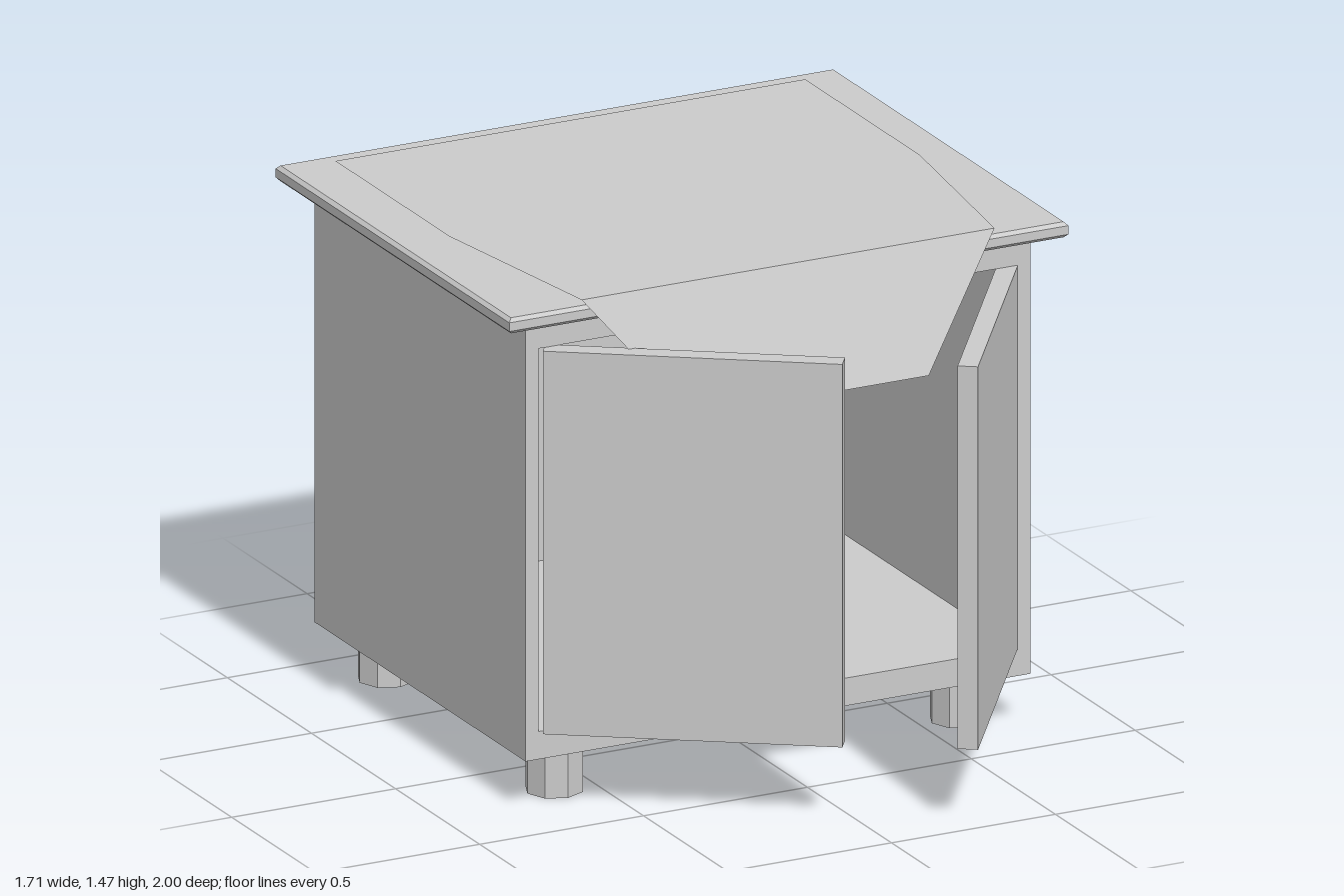
import * as THREE from 'three';

const material = new THREE.MeshStandardMaterial({ color: 0xcccccc, flatShading: true });
const clothMaterial = new THREE.MeshStandardMaterial({ color: 0xcccccc, flatShading: true, side: THREE.DoubleSide });

function addMesh(parent, name, geometry, x = 0, y = 0, z = 0, mat = material) {
  const mesh = new THREE.Mesh(geometry, mat);
  mesh.name = name;
  mesh.position.set(x, y, z);
  parent.add(mesh);
  return mesh;
}

function polygon(points) {
  return new THREE.Shape(points.map(([x, y]) => new THREE.Vector2(x, y)));
}

function rectangle(x0, y0, x1, y1) {
  return polygon([[x0, y0], [x1, y0], [x1, y1], [x0, y1]]);
}

// Door slab whose outer face runs from hinge to tip, given as [x, z]
function addDoor(parent, name, hinge, tip, side) {
  const thickness = 0.056, bottom = 0.225, top = 1.33;
  const dx = tip[0] - hinge[0], dz = tip[1] - hinge[1];
  const length = Math.hypot(dx, dz);
  const inward = side * thickness / 2 / length;
  const door = addMesh(parent, name, new THREE.BoxGeometry(length, top - bottom, thickness),
    (hinge[0] + tip[0]) / 2 - dz * inward, (bottom + top) / 2,
    (hinge[1] + tip[1]) / 2 + dx * inward);
  door.rotation.y = -Math.atan2(dz, dx);
}

export function createModel() {
  const model = new THREE.Group();
  model.name = 'cabinet';

  // Hollow carcass, open at the front
  const wall = 0.04, back = -0.93, front = 0.325;
  const frame = rectangle(-0.77, 0.145, 0.77, 1.41);
  frame.holes.push(rectangle(-0.73, 0.225, 0.73, 1.33));
  const carcass = new THREE.ExtrudeGeometry(frame, { depth: front - back - wall, bevelEnabled: false });
  addMesh(model, 'carcass', carcass, 0, 0, back + wall);
  addMesh(model, 'backPanel', new THREE.BoxGeometry(1.54, 1.265, wall), 0, 0.7775, back + wall / 2);

  // Worktop with chamfered edges
  const bevel = 0.01;
  const worktop = new THREE.ExtrudeGeometry(rectangle(-0.853, -0.39, 0.853, 1), {
    depth: 0.045 - 2 * bevel, bevelThickness: bevel, bevelSize: bevel, bevelOffset: -bevel, bevelSegments: 1,
  });
  worktop.rotateX(-Math.PI / 2);
  addMesh(model, 'worktop', worktop, 0, 1.41 + bevel, 0);

  // Doors standing ajar
  addDoor(model, 'rightDoor', [-0.73, 0.349], [-0.055, 0.815], -1);
  addDoor(model, 'leftDoor', [0.73, 0.328], [0.264, 1.0], 1);

  // Octagonal feet
  for (const x of [-0.617, 0.617]) {
    for (const z of [-0.8, 0.197]) {
      addMesh(model, 'foot', new THREE.CylinderGeometry(0.082, 0.082, 0.145, 8), x, 0.0725, z);
    }
  }

  // Thin cloth lying on the worktop, its front flap hanging forward
  const clothY = 1.473, foldZ = 0.385;
  const sheet = new THREE.ShapeGeometry(polygon([
    [-0.63, -foldZ], [0.63, -foldZ], [0.717, 0.23], [0.717, 0.91], [-0.717, 0.91], [-0.717, 0.23],
  ]));
  sheet.rotateX(-Math.PI / 2);
  addMesh(model, 'clothTop', sheet, 0, clothY, 0, clothMaterial);

  const drop = 0.338, reach = 0.135;
  const flap = new THREE.ShapeGeometry(polygon([
    [-0.36, -Math.hypot(drop, reach)], [0.36, -Math.hypot(drop, reach)], [0.63, 0], [-0.63, 0],
  ]));
  flap.rotateX(-Math.atan2(reach, drop));
  addMesh(model, 'clothFlap', flap, 0, clothY, foldZ, clothMaterial);

  return model;
}
